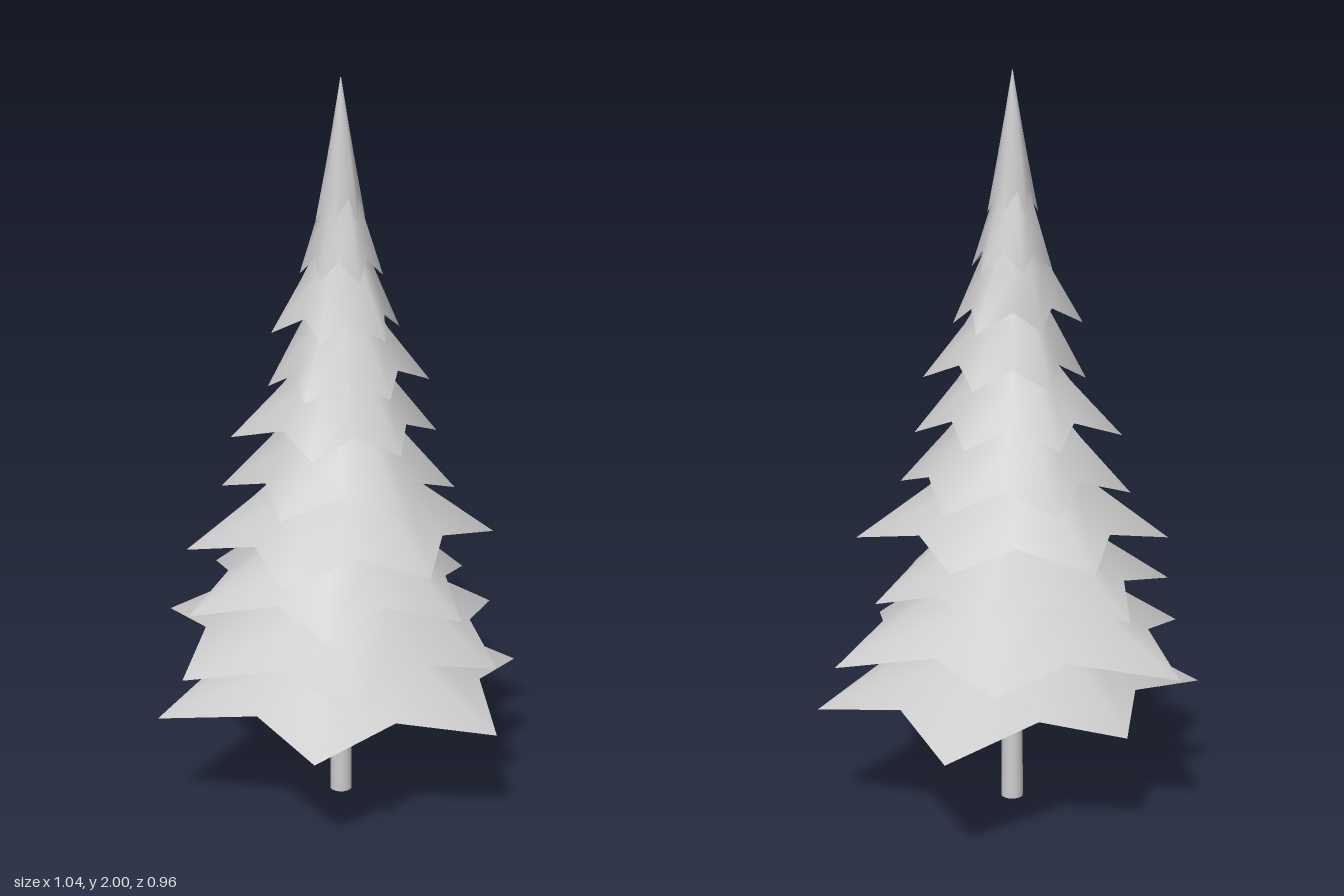
import * as THREE from 'three';

// Each tier lists the angles (degrees, from +x towards +z) and radii of its six branch tips
const TIERS = [
  { angles: [11, 72, 135, 195, 254, 312], radii: [0.53, 0.5, 0.485, 0.54, 0.47, 0.565] },
  { angles: [0, 61, 122, 183, 241, 300], radii: [0.51, 0.45, 0.51, 0.51, 0.55, 0.46] },
  { angles: [6, 72, 133, 191, 248, 306], radii: [0.38, 0.385, 0.37, 0.455, 0.43, 0.41] },
  { angles: [26, 88, 148, 205, 263, 320], radii: [0.415, 0.37, 0.41, 0.43, 0.41, 0.37] },
  { angles: [34, 94, 157, 219, 275, 324], radii: [0.3, 0.295, 0.315, 0.33, 0.355, 0.365] },
  { angles: [24, 85, 145, 213, 266, 325], radii: [0.257, 0.235, 0.24, 0.3, 0.26, 0.245] },
  { angles: [27, 87, 152, 206, 264, 325], radii: [0.235, 0.2, 0.22, 0.2, 0.2, 0.2] },
  { angles: [25, 84, 145, 203, 262, 325], radii: [0.155, 0.172, 0.165, 0.19, 0.14, 0.185] },
  { angles: [40, 100, 160, 220, 280, 340], radii: [0.11, 0.11, 0.1, 0.11, 0.11, 0.112] },
  { angles: [20, 80, 140, 200, 260, 320], radii: [0.066, 0.062, 0.066, 0.068, 0.062, 0.068] },
];
const AXIS = new THREE.Vector2(-0.008, -0.01); // trunk and treetop line
const FIRST_Y = 0.298, STEP = 0.148, HEIGHT = 0.37;
const NOTCH_LIFT = 0.05, HOLLOW = 0.12;

// Rim of a tier: tips alternate with raised notches
function starRim({ angles, radii }) {
  const rim = [];
  for (let i = 0; i < 6; i++) {
    const j = (i + 1) % 6;
    const next = angles[j] + (j === 0 ? 360 : 0);
    rim.push({ angle: angles[i], radius: radii[i], y: 0 });
    rim.push({
      angle: (angles[i] + next) / 2,
      radius: 0.72 * (radii[i] + radii[j]) / 2,
      y: NOTCH_LIFT,
    });
  }
  return rim;
}

function toGeometry(positions, index) {
  const g = new THREE.BufferGeometry();
  g.setAttribute('position', new THREE.Float32BufferAttribute(positions, 3));
  g.setIndex(index);
  g.computeVertexNormals();
  return g;
}

// Flared skirt (smooth) and its hollow underside, as separate surfaces with a sharp rim
function makeTier(tier, number, material) {
  const rim = starRim(tier);
  const n = rim.length;
  const mean = tier.radii.reduce((a, b) => a + b, 0) / 6;
  const base = FIRST_Y + number * STEP;
  const straight = number / (TIERS.length - 1); // upper tiers flare less
  // Rings drift from the model centre at the rim to the trunk axis at the apex
  const put = (list, angle, r, y, drift) => {
    const a = THREE.MathUtils.degToRad(angle);
    list.push(AXIS.x * drift + r * Math.cos(a), base + y, AXIS.y * drift + r * Math.sin(a));
  };

  const skirt = [], skirtIndex = [];
  rim.forEach((p) => put(skirt, p.angle, p.radius, p.y, straight));
  rim.forEach((p) => put(skirt, p.angle, (0.32 + 0.06 * straight) * mean + 0.22 * p.radius, 0.145, 1));
  rim.forEach((p) => put(skirt, p.angle, (0.25 + 0.07 * straight) * mean, 0.25, 1));
  rim.forEach((p) => put(skirt, p.angle, 0.001, HEIGHT, 1));
  for (let row = 0; row < 3; row++) {
    for (let i = 0; i < n; i++) {
      const a = row * n + i, b = row * n + (i + 1) % n;
      skirtIndex.push(a, a + n, b, b, a + n, b + n);
    }
  }

  const under = [], underIndex = [];
  rim.forEach((p) => put(under, p.angle, p.radius, p.y, straight));
  put(under, 0, 0, HOLLOW, 1);
  for (let i = 0; i < n; i++) underIndex.push(i, (i + 1) % n, n);

  const group = new THREE.Group();
  group.name = `branchTier${number + 1}`;
  const top = new THREE.Mesh(toGeometry(skirt, skirtIndex), material);
  top.name = 'branchSkirt';
  const bottom = new THREE.Mesh(toGeometry(under, underIndex), material);
  bottom.name = 'branchUnderside';
  group.add(top, bottom);
  return group;
}

export function createModel() {
  const pale = new THREE.MeshStandardMaterial({ color: 0xcccccc });
  pale.name = 'pale grey';

  const tree = new THREE.Group();
  tree.name = 'coniferTree';

  // Slim trunk reaching into the lowest tier
  const trunk = new THREE.Mesh(new THREE.CylinderGeometry(0.027, 0.03, 0.44, 16), pale);
  trunk.name = 'trunk';
  trunk.position.set(AXIS.x, 0.22, AXIS.y);
  tree.add(trunk);

  TIERS.forEach((tier, i) => tree.add(makeTier(tier, i, pale)));
  return tree;
}
